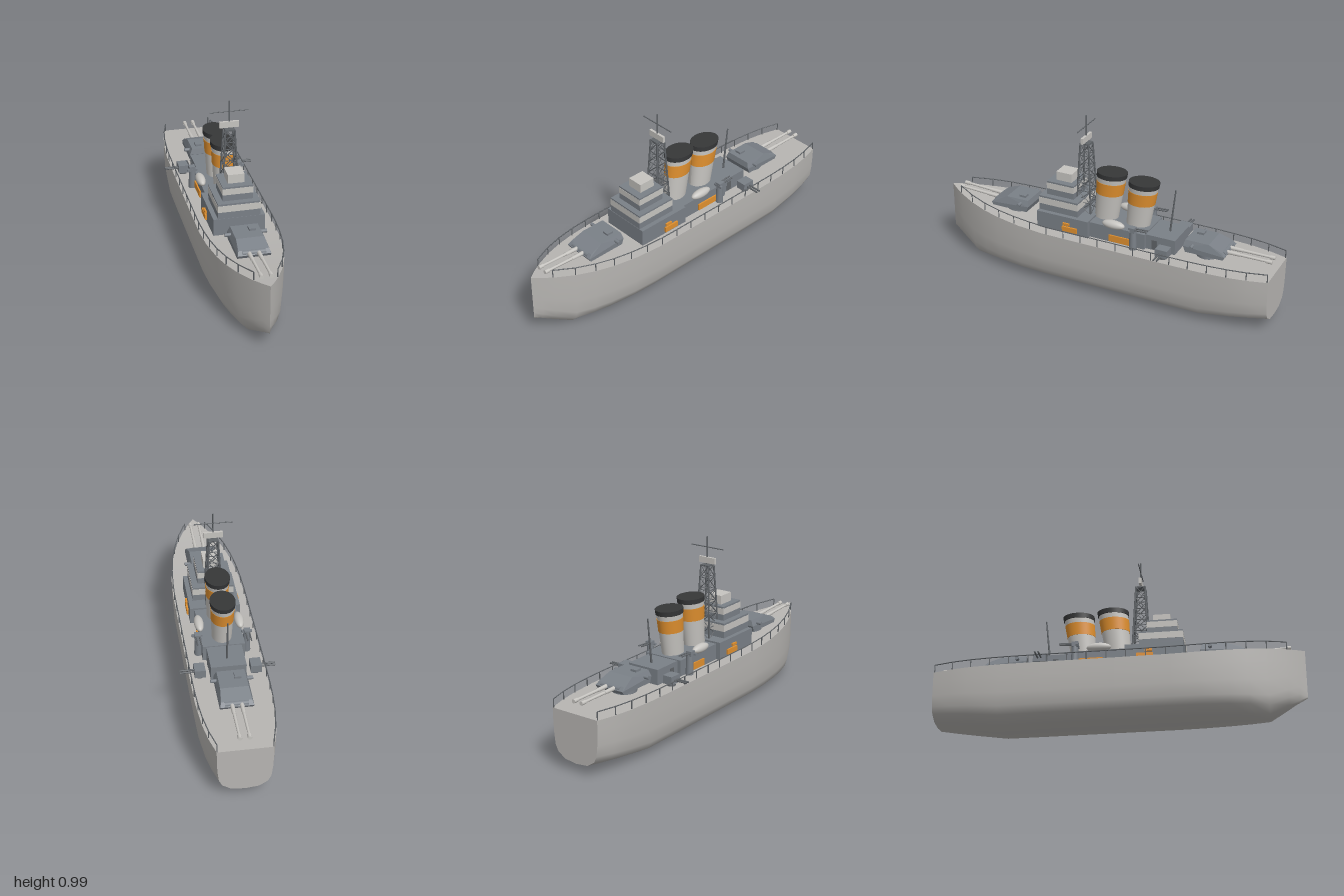
import * as THREE from 'three';
import { ConvexGeometry } from 'three/addons/geometries/ConvexGeometry.js';

const material = (name, color, side = THREE.FrontSide) => {
  const m = new THREE.MeshStandardMaterial({ color, side });
  m.name = name;
  return m;
};

export function createModel() {
  const hullGrey = material('hull grey', 0xb7b5b2, THREE.DoubleSide);
  const lightGrey = material('light grey', 0xc6c4c0);
  const slate = material('slate grey', 0x7a8087);
  const steel = material('steel', 0x606468);
  const orange = material('orange', 0xe0902f);
  const black = material('soot black', 0x363738);
  const ship = new THREE.Group();
  ship.name = 'warship';

  const add = (parent, name, geo, mat, x = 0, y = 0, z = 0) => {
    const m = new THREE.Mesh(geo, mat);
    m.name = name;
    m.position.set(x, y, z);
    parent.add(m);
    return m;
  };
  // Box given by x centre, width, and its y and z ranges
  const block = (parent, name, mat, x, w, y0, y1, z0, z1) =>
    add(parent, name, new THREE.BoxGeometry(w, y1 - y0, z1 - z0), mat, x, (y0 + y1) / 2, (z0 + z1) / 2);
  const rod = (parent, name, mat, p, q, r, r2 = r, sides = 8) => {
    const a = new THREE.Vector3(...p), b = new THREE.Vector3(...q), d = b.clone().sub(a);
    const m = add(parent, name, new THREE.CylinderGeometry(r2, r, d.length(), sides), mat);
    m.position.copy(a).add(b).multiplyScalar(0.5);
    m.quaternion.setFromUnitVectors(new THREE.Vector3(0, 1, 0), d.normalize());
    return m;
  };
  const loft = (rings) => {
    const n = rings[0].length, index = [];
    for (let i = 0; i < rings.length - 1; i++)
      for (let j = 0; j < n - 1; j++) {
        const a = i * n + j, b = a + 1, c = a + n, d = c + 1;
        index.push(a, c, b, b, c, d);
      }
    const g = new THREE.BufferGeometry();
    g.setAttribute('position', new THREE.Float32BufferAttribute(rings.flat(2), 3));
    g.setIndex(index);
    g.computeVertexNormals();
    return g;
  };

  // Hull: [z, half width] stations, lofted from one section shape
  const plan = [[-1, 0.145], [-0.9, 0.172], [-0.8, 0.189], [-0.63, 0.203], [-0.4, 0.205], [0, 0.205], [0.3, 0.205],
    [0.45, 0.197], [0.6, 0.176], [0.7, 0.152], [0.8, 0.117], [0.9, 0.068], [0.96, 0.03], [1, 0]];
  const section = [[1, 1], [0.995, 0.78], [0.975, 0.5], [0.925, 0.27], [0.81, 0.14], [0.5, 0.03], [0, 0]];
  const deckY = (z) => 0.32 + 0.063 * Math.pow(Math.max(0, (z - 0.2) / 0.8), 1.7);
  const keelY = (z) => z > 0.8 ? (z - 0.8) * 0.55 : z < -0.63 ? (-0.63 - z) * 0.14 : 0;
  const halfWidth = (z) => {
    const i = Math.max(1, plan.findIndex((p) => p[0] >= z));
    const [a, b] = [plan[i - 1], plan[i]];
    return a[1] + (b[1] - a[1]) * (z - a[0]) / (b[0] - a[0]);
  };
  const ring = ([z, w]) => {
    const pt = (s) => ([f, g]) => [s * w * f, keelY(z) + (deckY(z) - keelY(z)) * g, z];
    return [...section.map(pt(1)), ...section.slice(0, -1).reverse().map(pt(-1))];
  };
  const rings = plan.map(ring);
  add(ship, 'hull', loft(rings), hullGrey);
  add(ship, 'deck', loft(plan.map(([z, w]) => [[-w, deckY(z), z], [w, deckY(z), z]])), hullGrey);
  add(ship, 'transom', loft(section.map((_, i) => [rings[0][i], rings[0][rings[0].length - 1 - i]])), hullGrey);

  // Railings along both deck edges
  const railing = new THREE.Group();
  railing.name = 'railing';
  ship.add(railing);
  for (const s of [-1, 1]) {
    const count = 18;
    let last = null;
    for (let i = 0; i <= count; i++) {
      const z = -0.995 + 1.9 * i / count, x = s * (halfWidth(z) - 0.004), y = deckY(z);
      const top = [x, y + 0.045, z];
      rod(railing, 'railPost', steel, [x, y, z], top, 0.003, 0.003, 6);
      if (last) rod(railing, 'railBar', steel, last, top, 0.003, 0.003, 6);
      last = top;
    }
  }

  // Deckhouses and stepped bridge
  block(ship, 'forwardDeckhouse', slate, 0, 0.28, 0.31, 0.42, 0.045, 0.36);
  block(ship, 'middleDeckhouse', slate, 0, 0.23, 0.31, 0.41, -0.285, 0.045);
  block(ship, 'aftDeckhouse', slate, 0, 0.19, 0.31, 0.405, -0.455, -0.285);
  const tier = (w, y, h, z0, z1) => {
    block(ship, 'bridgeTier', slate, 0, w, y, y + h * 0.44, z0, z1);
    block(ship, 'bridgeBand', lightGrey, 0, w + 0.002, y + h * 0.44, y + h * 0.88, z0 - 0.001, z1 + 0.001);
    block(ship, 'bridgeRoof', slate, 0, w, y + h * 0.88, y + h, z0, z1);
  };
  tier(0.23, 0.42, 0.085, 0.12, 0.358);
  tier(0.164, 0.505, 0.08, 0.16, 0.325);
  block(ship, 'bridgeTop', lightGrey, 0, 0.09, 0.585, 0.635, 0.19, 0.285);

  // Lattice mast with radar and yard
  const mast = new THREE.Group();
  mast.name = 'latticeMast';
  mast.position.z = 0.12;
  ship.add(mast);
  const half = (y) => 0.046 - 0.021 * (y - 0.41) / 0.415;
  const corners = [[1, 1], [-1, 1], [-1, -1], [1, -1]];
  const at = (c, y) => [c[0] * half(y), y, c[1] * half(y)];
  corners.forEach((c, k) => {
    const d = corners[(k + 1) % 4];
    rod(mast, 'mastLeg', steel, at(c, 0.41), at(c, 0.825), 0.005);
    for (let i = 0; i < 6; i++) {
      const y0 = 0.41 + i * 0.0692, y1 = y0 + 0.0692;
      rod(mast, 'mastBrace', steel, at(c, y0), at(d, y1), 0.0025, 0.0025, 5);
      rod(mast, 'mastBrace', steel, at(d, y0), at(c, y1), 0.0025, 0.0025, 5);
      rod(mast, 'mastRing', steel, at(c, y1), at(d, y1), 0.0025, 0.0025, 5);
    }
  });
  block(mast, 'mastPlatform', steel, 0, 0.054, 0.82, 0.828, -0.027, 0.027);
  rod(mast, 'mastPole', steel, [0, 0.82, 0], [0, 0.985, 0], 0.004);
  rod(mast, 'mastYard', steel, [-0.105, 0.925, 0], [0.105, 0.925, 0], 0.003);
  block(mast, 'radarPanel', lightGrey, 0, 0.106, 0.834, 0.868, -0.006, 0.008);
  rod(ship, 'aftMast', steel, [0, 0.4, -0.385], [0, 0.655, -0.412], 0.006, 0.004);

  // Raked oval funnels, built from slices of one flaring cylinder
  const funnel = (zc, h) => {
    const g = new THREE.Group();
    g.name = 'funnel';
    g.position.set(0, 0.4, zc);
    ship.add(g);
    const slice = (name, mat, y0, y1, grow = 0) => {
      const geo = new THREE.CylinderGeometry(1, 1, 1, 36), p = geo.attributes.position;
      for (let i = 0; i < p.count; i++) {
        const y = y0 + (p.getY(i) + 0.5) * (y1 - y0), t = y / h;
        p.setXYZ(i, p.getX(i) * (0.054 + 0.01 * t + grow), y, p.getZ(i) * (0.068 + 0.016 * t + grow) - 0.034 * t);
      }
      geo.computeVertexNormals();
      add(g, name, geo, mat);
    };
    slice('funnelBody', lightGrey, 0, h - 0.02);
    slice('funnelBand', orange, h - 0.128, h - 0.055, 0.002);
    slice('funnelCap', black, h - 0.027, h, 0.004);
  };
  funnel(-0.003, 0.285);
  funnel(-0.195, 0.267);

  // Twin-gun turrets, bow and stern
  const turret = (z, lift, rise) => {
    const g = new THREE.Group();
    g.name = 'mainTurret';
    g.position.set(0, 0, z);
    if (z < 0) g.rotation.y = Math.PI;
    ship.add(g);
    add(g, 'barbette', new THREE.CylinderGeometry(0.065, 0.065, 0.055, 28), slate, 0, 0.335, 0);
    const shape = [[0.088, 0.352, -0.1], [0.088, 0.352, 0.115], [0.088, 0.37, 0.125], [0.088, 0.385, -0.112],
      [0.074, 0.418, -0.105], [0.074, 0.418, 0.03], [0.08, 0.39, 0.105]];
    const pts = shape.flatMap(([x, y, zz]) => [1, -1].map((s) => new THREE.Vector3(s * x, y + lift, zz)));
    add(g, 'turretHouse', new ConvexGeometry(pts), slate);
    block(g, 'turretHatch', slate, 0.03, 0.036, 0.415 + lift, 0.43 + lift, -0.075, -0.035);
    rod(g, 'rangefinder', slate, [-0.112, 0.395 + lift, -0.06], [0.112, 0.395 + lift, -0.06], 0.01, 0.01, 12);
    rod(g, 'gunMantlet', slate, [-0.062, 0.374 + lift, 0.105], [0.062, 0.374 + lift, 0.105], 0.016, 0.016, 16);
    for (const x of [-0.025, 0.025]) {
      const y = 0.374 + lift;
      rod(g, 'gunSleeve', lightGrey, [x, y, 0.09], [x, y + rise * 0.3, 0.19], 0.012, 0.01, 14);
      rod(g, 'gunBarrel', lightGrey, [x, y, 0.1], [x, y + rise, 0.365], 0.009, 0.007, 14);
      rod(g, 'gunMuzzle', lightGrey, [x, y + rise * 0.93, 0.34], [x, y + rise, 0.368], 0.011, 0.011, 14);
    }
  };
  turret(0.56, 0.008, 0.013);
  turret(-0.61, 0, 0);

  // Fittings mirrored on both sides
  for (const s of [-1, 1]) {
    // Broadside guns
    add(ship, 'sideGunPedestal', new THREE.CylinderGeometry(0.02, 0.024, 0.03, 14), steel, s * 0.15, 0.33, -0.41);
    block(ship, 'sideGunHouse', slate, s * 0.15, 0.058, 0.335, 0.38, -0.445, -0.375);
    for (const dz of [-0.009, 0.009])
      rod(ship, 'sideGunBarrel', steel, [s * 0.17, 0.357, -0.41 + dz], [s * 0.255, 0.357, -0.41 + dz], 0.005);
    // Light guns facing aft
    add(ship, 'lightGunPedestal', new THREE.CylinderGeometry(0.018, 0.022, 0.115, 14), slate, s * 0.132, 0.3725, -0.225);
    block(ship, 'lightGunMount', slate, s * 0.135, 0.034, 0.425, 0.453, -0.24, -0.205);
    block(ship, 'lightGunShield', slate, s * 0.135, 0.058, 0.428, 0.44, -0.217, -0.204);
    for (const dx of [-0.01, 0.01])
      rod(ship, 'lightGunBarrel', steel, [s * 0.135 + dx, 0.442, -0.235], [s * 0.135 + dx, 0.446, -0.31], 0.004);
    // Boats
    const boat = add(ship, 'lifeboat', new THREE.SphereGeometry(1, 24, 16), lightGrey, s * 0.111, 0.427, -0.098);
    boat.scale.set(0.026, 0.025, 0.067);
    // Orange side lockers with dark insets
    block(ship, 'forwardLocker', orange, s * 0.144, 0.012, 0.334, 0.364, 0.11, 0.2);
    block(ship, 'forwardLockerLamp', orange, s * 0.144, 0.012, 0.372, 0.386, 0.155, 0.195);
    block(ship, 'middleLocker', orange, s * 0.118, 0.01, 0.326, 0.364, -0.21, -0.075);
    // Side door on the aft deckhouse
    block(ship, 'aftDoor', steel, s * 0.0955, 0.005, 0.325, 0.38, -0.35, -0.32);
  }
  return ship;
}
